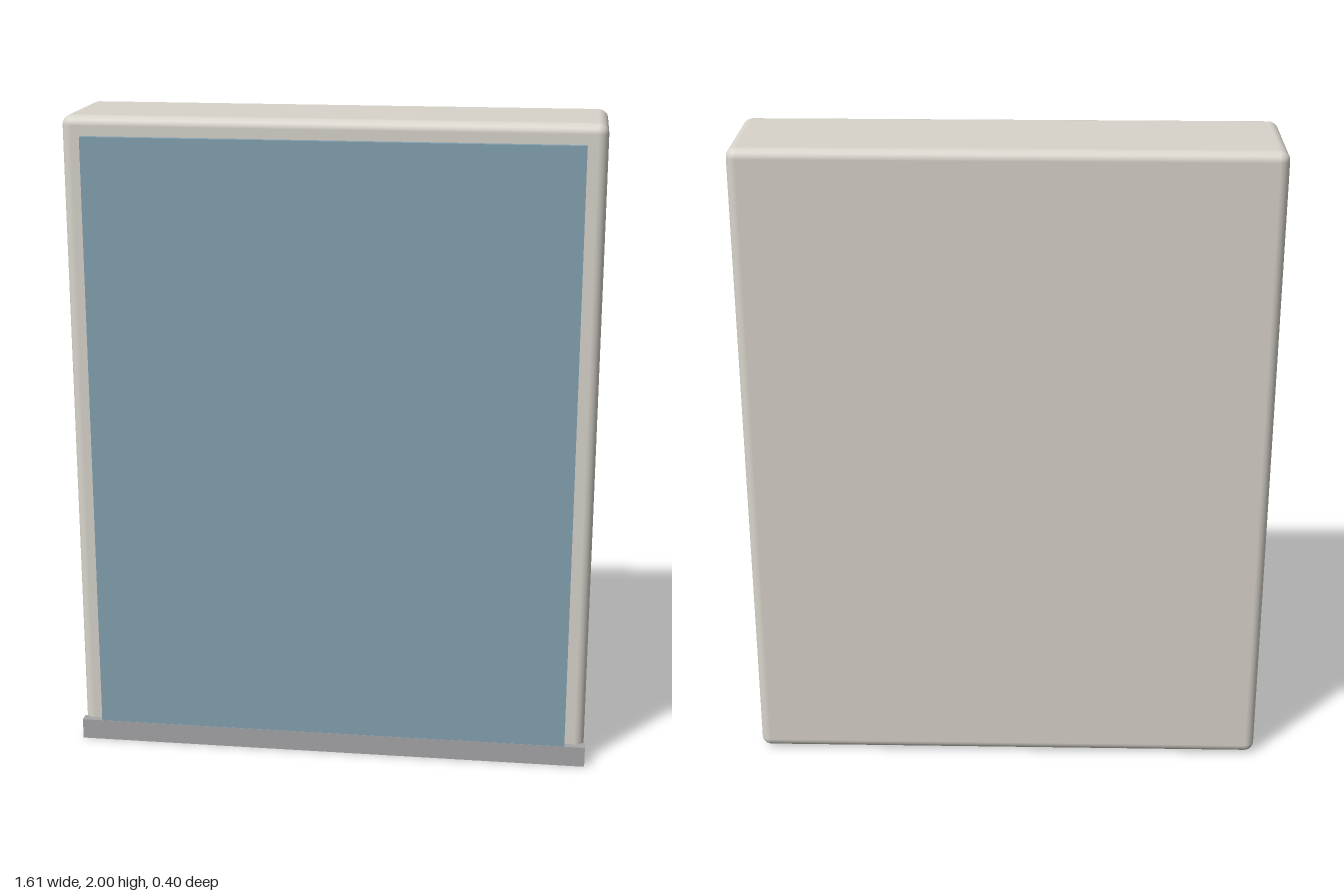
import * as THREE from 'three';
import { RoundedBoxGeometry } from 'three/addons/geometries/RoundedBoxGeometry.js';

export function createModel() {
  const group = new THREE.Group();

  // Place a geometry by its centre
  const add = (name, geometry, color, x, y, z) => {
    const mesh = new THREE.Mesh(geometry, new THREE.MeshStandardMaterial({ color }));
    mesh.name = name;
    mesh.position.set(x, y, z);
    group.add(mesh);
  };

  // Rounded cabinet, z -0.2 to 0.18
  add('cabinetBody', new RoundedBoxGeometry(1.6, 1.995, 0.38, 3, 0.03), 0xd8d4cb, 0, 1.0025, -0.01);

  // Flat panel standing proud of the front face
  add('frontPanel', new THREE.BoxGeometry(1.48, 1.88, 0.025), 0x84a2b1, 0, 1.0, 0.1875);

  // Sill along the bottom front edge
  add('bottomSill', new THREE.BoxGeometry(1.608, 0.065, 0.033), 0xa6a6a8, 0, 0.0325, 0.1845);

  return group;
}
